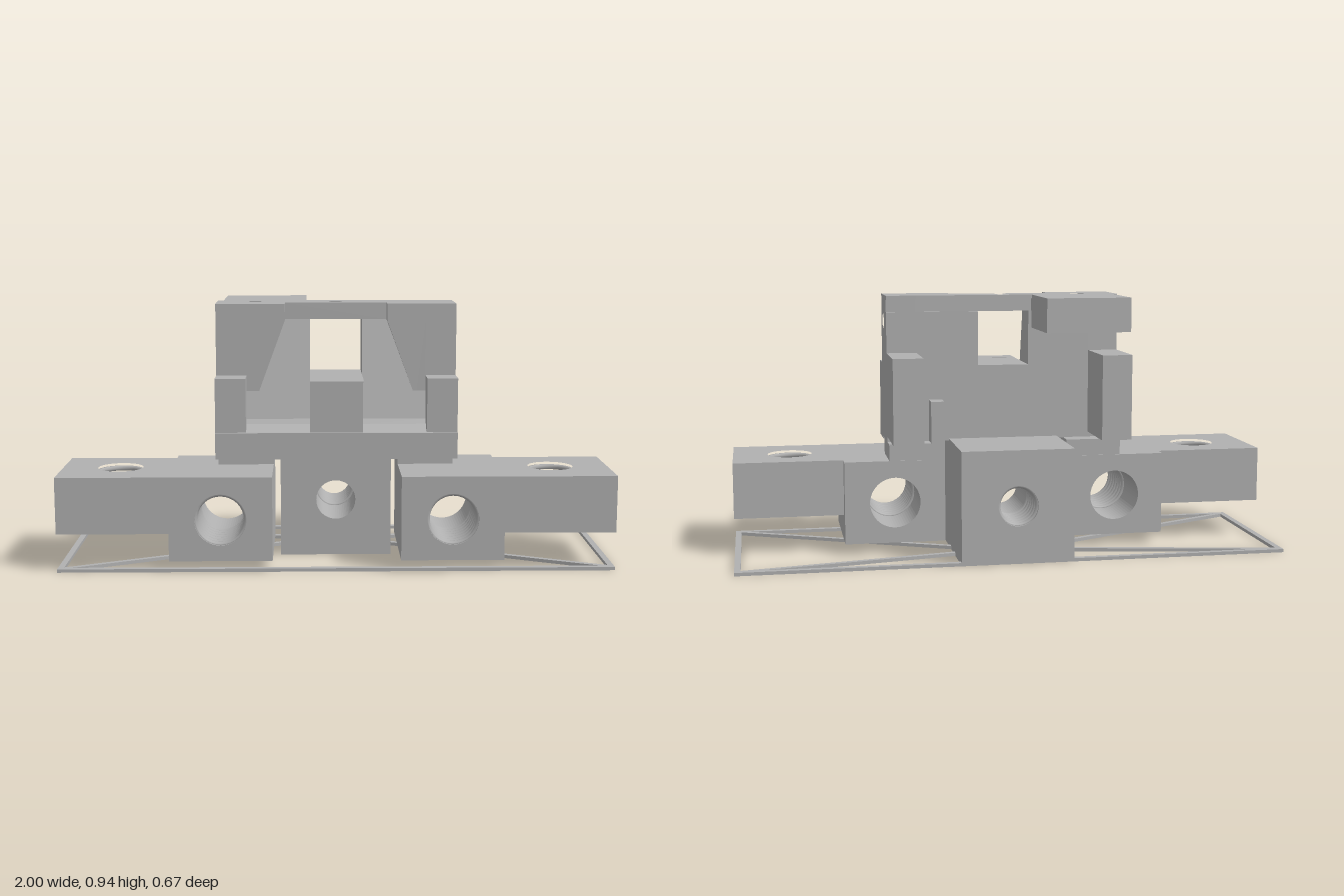
import * as THREE from 'three';

export function createModel() {
  const model = new THREE.Group();
  model.name = 'clampAssembly';
  const grey = new THREE.MeshStandardMaterial({ color: 0xb0b0b0 });
  grey.name = 'grey';

  const add = (name, geometry, parent = model) => {
    const mesh = new THREE.Mesh(geometry, grey);
    mesh.name = name;
    parent.add(mesh);
    return mesh;
  };
  const box = (name, x0, x1, y0, y1, z0, z1) =>
    add(name, new THREE.BoxGeometry(Math.abs(x1 - x0), y1 - y0, z1 - z0)
      .translate((x0 + x1) / 2, (y0 + y1) / 2, (z0 + z1) / 2));

  // Outline with round holes given as [x, y, radius]
  const outline = (points, holes = []) => {
    const shape = new THREE.Shape(points.map(([x, y]) => new THREE.Vector2(x, y)));
    for (const [x, y, r] of holes) {
      const path = new THREE.Path();
      path.absarc(x, y, r, 0, Math.PI * 2, true);
      shape.holes.push(path);
    }
    return shape;
  };
  const extrude = (shape, depth) =>
    new THREE.ExtrudeGeometry(shape, { depth, bevelEnabled: false, curveSegments: 32 });
  // Prisms along each axis: outlines are (x, y), (x, z) and (z, y)
  const prismZ = (name, points, holes, z0, z1) =>
    add(name, extrude(outline(points, holes), z1 - z0).translate(0, 0, z0));
  const prismY = (name, points, holes, y0, y1) =>
    add(name, extrude(outline(points.map(([x, z]) => [x, -z]),
      holes.map(([x, z, r]) => [x, -z, r])), y1 - y0).rotateX(-Math.PI / 2).translate(0, y0, 0));
  const prismX = (name, points, holes, x0, x1) =>
    add(name, extrude(outline(points, holes), x1 - x0).rotateY(-Math.PI / 2).translate(x1, 0, 0));
  const rect = (a0, a1, b0, b1) => [[a0, b0], [a1, b0], [a1, b1], [a0, b1]];

  // Thread ridges inside a hole, along z or y
  const thread = (name, x, y, z, radius, length, vertical) => {
    const group = new THREE.Group();
    group.name = name;
    const pitch = 0.034;
    for (let d = pitch / 2; d < length; d += pitch) {
      add('threadRidge', new THREE.TorusGeometry(radius, 0.01, 6, 32).translate(0, 0, d), group);
    }
    if (vertical) group.rotation.x = -Math.PI / 2;
    group.position.set(x, y, z);
    model.add(group);
  };

  // Thin base frame and its diagonal struts
  const h = 0.012;
  for (const s of [-1, 1]) {
    box('frameLongRail', -1, 1, 0, h, s > 0 ? 0.313 : -0.335, s > 0 ? 0.335 : -0.313);
    box('frameEndRail', s * 0.978, s, 0, h, -0.335, 0.335);
    for (const [zOuter, zInner] of [[-0.32, -0.165], [0.32, -0.06]]) {
      const dx = s * (0.985 - 0.2), dz = zOuter - zInner;
      const strut = add('frameStrut', new THREE.BoxGeometry(Math.hypot(dx, dz), h, 0.02));
      strut.position.set(s * 0.5925, h / 2, (zOuter + zInner) / 2);
      strut.rotation.y = -Math.atan2(dz, dx);
    }
  }

  // Central block with a bored and threaded hole
  prismZ('centreBlock', rect(-0.205, 0.205, 0, 0.412), [[0, 0.21, 0.073]], -0.335, 0.09);
  thread('centreThread', 0, 0.21, -0.335, 0.073, 0.2);

  for (const s of [-1, 1]) {
    const span = (a, b) => (s > 0 ? [a, b] : [-b, -a]);
    // Side arm: deep inner block and shallower outer end
    prismZ('armInner', rect(...span(0.23, 0.6), 0.04, 0.345), [[s * 0.415, 0.19, 0.093]], -0.093, 0.335);
    thread('armFrontThread', s * 0.415, 0.19, 0.1, 0.093, 0.235);
    prismY('armOuter', rect(...span(0.6, 1), -0.043, 0.335), [[s * 0.79, 0.14, 0.082]], 0.14, 0.345);
    thread('armTopThread', s * 0.79, 0.14, 0.14, 0.08, 0.19, true);
    box('armPillar', ...span(0.23, 0.435), 0.345, 0.406, -0.09, 0.09);

    // Body end with front post, rear ear, groove and pin hole
    prismX('bodyEnd', [
      [-0.025, 0.945], [0.155, 0.945], [0.155, 0.685], [0.245, 0.685], [0.245, 0.49],
      [0.257, 0.49], [0.257, 0.395], [0.125, 0.395], [0.125, 0.405], [-0.025, 0.405],
      [-0.025, 0.425], [-0.25, 0.425], [-0.25, 0.735], [-0.025, 0.735],
      [-0.025, 0.885], [-0.015, 0.885], [-0.015, 0.93], [-0.025, 0.93],
    ], [[0.088, 0.847, 0.027]], ...span(0.325, 0.435));

    // Sloping recess floor with a curved foot
    prismX('recessRamp', [
      [0.125, 0.395], [0.257, 0.395], [0.257, 0.49], [0.24, 0.49], [0.21, 0.498],
      [0.19, 0.512], [0.18, 0.53], [0.09, 0.885], [0.05, 0.885], [0.05, 0.405], [0.125, 0.405],
    ], [], ...span(0.095, 0.325));
  }
  box('rearPost', 0.23, 0.28, 0.345, 0.56, -0.093, -0.02);

  // Body walls: rear with window, front with flared recess
  prismZ('bodyRear', [
    [-0.325, 0.405], [0.325, 0.405], [0.325, 0.885], [0.095, 0.885],
    [0.095, 0.685], [-0.095, 0.685], [-0.095, 0.885], [-0.325, 0.885],
  ], [], -0.025, 0.09);
  prismZ('bodyFront', [
    [-0.325, 0.405], [0.325, 0.405], [0.325, 0.885], [0.185, 0.885],
    [0.29, 0.6], [0.095, 0.6], [0.095, 0.405], [-0.095, 0.405], [-0.095, 0.6],
    [-0.29, 0.6], [-0.185, 0.885], [-0.325, 0.885],
  ], [], 0.09, 0.155);

  // Top bridge with front slot and pin holes, and the rear lip over the groove
  prismY('bodyTop', [
    [-0.325, -0.015], [0.325, -0.015], [0.325, 0.155], [0.185, 0.155],
    [0.185, 0.09], [-0.185, 0.09], [-0.185, 0.155], [-0.325, 0.155],
  ], [[-0.31 + 0.015, 0.04, 0.025], [0, 0.04, 0.025]], 0.885, 0.945);
  box('rearLip', -0.325, 0.325, 0.93, 0.945, -0.025, -0.015);
  box('rearPlate', -0.415, -0.108, 0.822, 0.945, -0.3, -0.015);

  // Central front box, lower lip and thin tongue
  box('centreBox', -0.095, 0.095, 0.405, 0.685, 0.05, 0.245);
  box('frontLip', -0.095, 0.095, 0.395, 0.49, 0.125, 0.257);
  box('tongue', -0.095, 0.095, 0.682, 0.686, 0.24, 0.335);

  return model;
}
